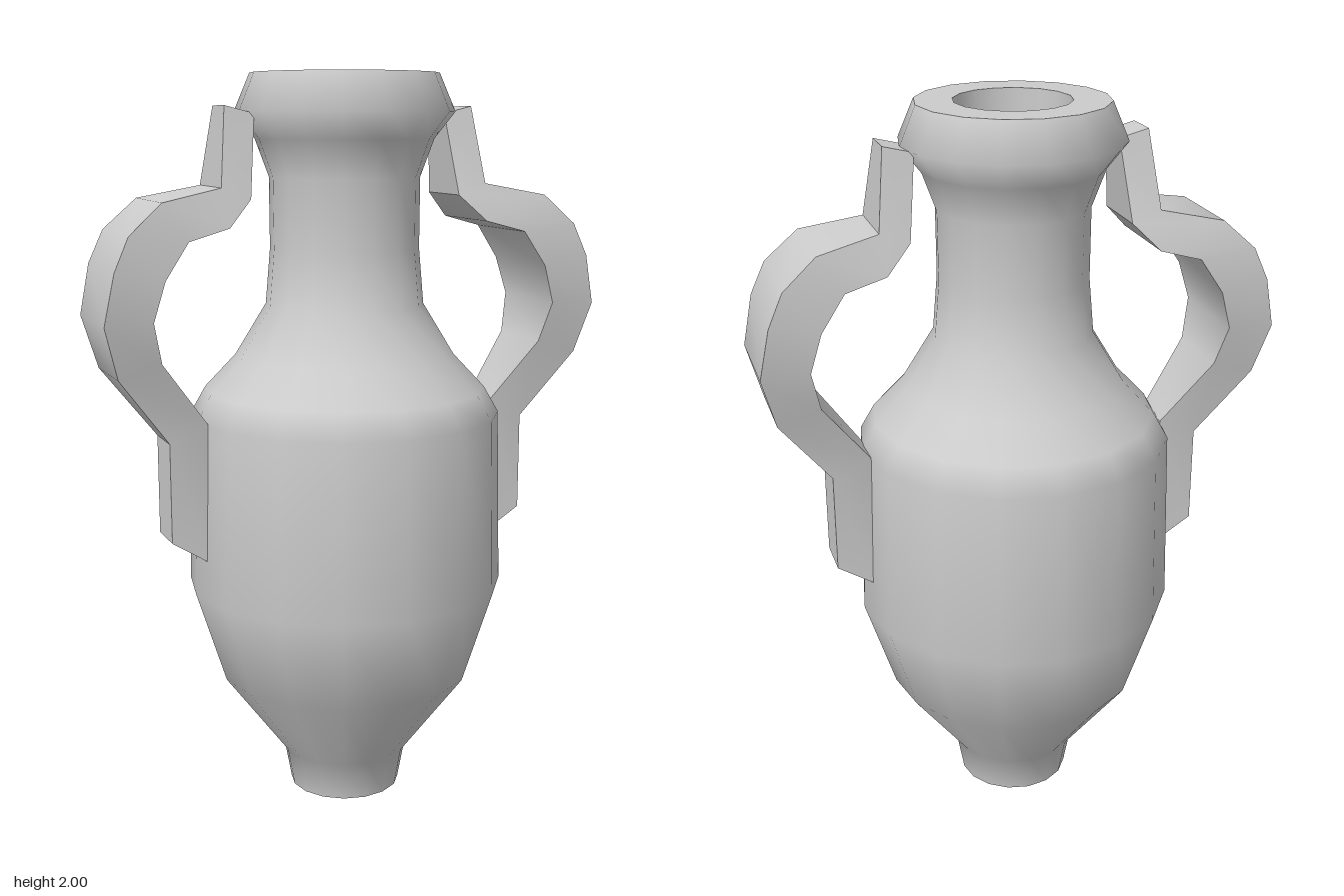
import * as THREE from 'three';
import { toCreasedNormals } from 'three/addons/utils/BufferGeometryUtils.js';

const material = new THREE.MeshStandardMaterial({ color: 0xcccccc });

// One smooth turned surface; profile is [radius, height], separate pieces keep sharp edges
function turned(name, profile) {
  const points = profile.map(([r, y]) => new THREE.Vector2(r, y));
  const mesh = new THREE.Mesh(new THREE.LatheGeometry(points, 16), material);
  mesh.name = name;
  return mesh;
}

// Strap handle: rectangular sections [outerX, outerY, innerX, innerY, halfWidth], top to bottom
const sections = [
  [0.35, 1.915, 0.27, 1.895, 0.05],
  [0.375, 1.71, 0.296, 1.68, 0.095],
  [0.54, 1.678, 0.365, 1.61, 0.13],
  [0.63, 1.598, 0.476, 1.58, 0.14],
  [0.67, 1.51, 0.54, 1.485, 0.145],
  [0.698, 1.375, 0.571, 1.38, 0.138],
  [0.66, 1.235, 0.545, 1.27, 0.11],
  [0.518, 1.05, 0.413, 1.095, 0.062],
  [0.518, 0.78, 0.42, 0.718, 0.062],
];

function handleGeometry() {
  const pos = [], index = [];
  for (const [ox, oy, ix, iy, w] of sections)
    pos.push(ox, oy, w, ox, oy, -w, ix, iy, -w, ix, iy, w);
  const quad = (a, b, c, d) => index.push(a, b, c, a, c, d);
  const last = (sections.length - 1) * 4;
  for (let i = 0; i < last; i += 4)
    for (let k = 0; k < 4; k++) {
      const n = (k + 1) % 4;
      quad(i + k, i + 4 + k, i + 4 + n, i + n);
    }
  quad(0, 1, 2, 3);
  quad(last + 3, last + 2, last + 1, last);
  const geo = new THREE.BufferGeometry();
  geo.setAttribute('position', new THREE.Float32BufferAttribute(pos, 3));
  geo.setIndex(index);
  return toCreasedNormals(geo, THREE.MathUtils.degToRad(35));
}

export function createModel() {
  const group = new THREE.Group();
  group.name = 'amphora';

  // Vessel
  group.add(
    turned('base', [[0, 0], [0.155, 0]]),
    turned('body', [
      [0.155, 0], [0.175, 0.11], [0.355, 0.35], [0.438, 0.61], [0.425, 1.09],
      [0.385, 1.16], [0.3, 1.25], [0.215, 1.39], [0.202, 1.54], [0.203, 1.73],
      [0.24, 1.83], [0.295, 1.9], [0.252, 2],
    ]),
    turned('lip', [[0.252, 2], [0.153, 2]]),
    turned('mouth', [[0.153, 2], [0.15, 1.7], [0.15, 1.42], [0.1, 1.34], [0, 1.32]]),
  );

  // Handles
  const geo = handleGeometry();
  for (const [name, turn] of [['leftHandle', 0], ['rightHandle', Math.PI]]) {
    const handle = new THREE.Mesh(geo, material);
    handle.name = name;
    handle.rotation.y = turn;
    group.add(handle);
  }
  return group;
}
